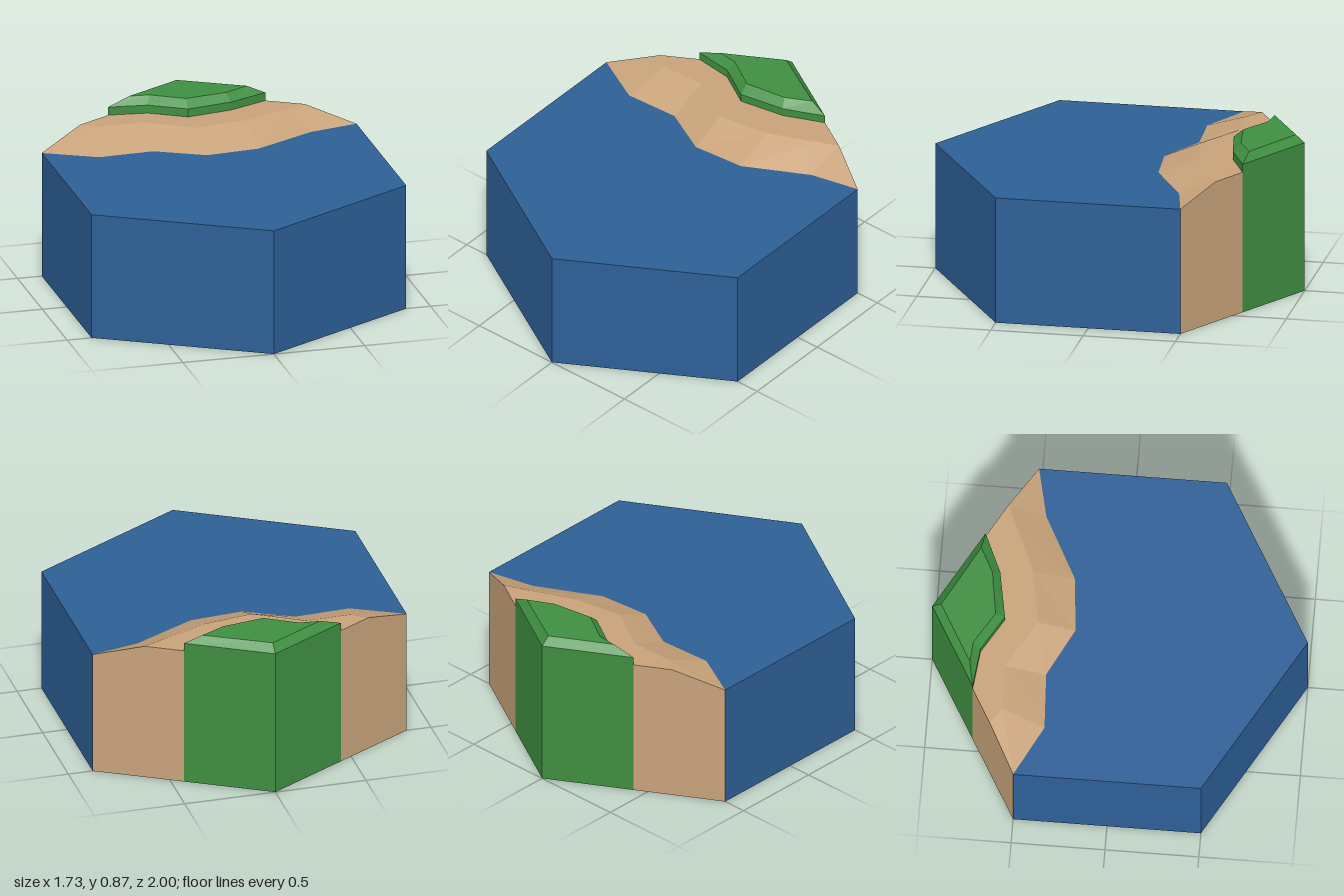
import * as THREE from 'three';

const material = (name, color) => {
  const m = new THREE.MeshStandardMaterial({ color });
  m.name = name;
  return m;
};

// Stacks outlines (rings of [x, z], counter-clockwise from above) at given heights,
// joins them with walls and closes the top.
function terrace(name, layers, mat) {
  const positions = [];
  const put = ([x, z], y) => positions.push(x, y, z);
  for (let l = 0; l < layers.length - 1; l++) {
    const [y0, a] = layers[l];
    const [y1, b] = layers[l + 1];
    for (let i = 0; i < a.length; i++) {
      const j = (i + 1) % a.length;
      put(a[i], y0); put(a[j], y0); put(b[j], y1);
      put(a[i], y0); put(b[j], y1); put(b[i], y1);
    }
  }
  const [top, ring] = layers[layers.length - 1];
  const flat = ring.map(([x, z]) => new THREE.Vector2(x, -z));
  for (const face of THREE.ShapeUtils.triangulateShape(flat, [])) {
    for (const k of face) put(ring[k], top);
  }
  const geometry = new THREE.BufferGeometry();
  geometry.setAttribute('position', new THREE.Float32BufferAttribute(positions, 3));
  geometry.computeVertexNormals();
  const mesh = new THREE.Mesh(geometry, mat);
  mesh.name = name;
  return mesh;
}

export function createModel() {
  const water = material('water blue', 0x2d5f96);
  const sand = material('sand tan', 0xc8a37a);
  const grass = material('grass green', 0x3f8f41);
  const W = Math.sqrt(3) / 2;
  const E = W / 2;
  const onEdge = (x) => [x, -1 + Math.abs(x) / Math.sqrt(3)]; // point on a back side of the hexagon

  const model = new THREE.Group();
  model.name = 'coastTile';

  // Sea: hexagon cut along the shoreline
  const shore = [[-W, -0.5], [-0.59, -0.355], [-0.29, -0.37], [-0.03, -0.235],
    [0.26, -0.26], [0.6, -0.44], [W, -0.5]];
  const sea = [...[...shore].reverse(), [-W, 0.5], [0, 1], [W, 0.5]];
  model.add(terrace('sea', [[0, sea], [0.695, sea]], water));

  // Beach: sloping from the shoreline up to a flat ridge
  const ridge = [onEdge(-0.615), [-0.53, -0.585], [-0.29, -0.59], [-0.03, -0.435],
    [0.25, -0.48], [0.5, -0.591], onEdge(0.62)];
  const back = [[E, -0.75], [-E, -0.75]];
  const beach = [...shore, ...back];
  model.add(terrace('beach', [[0, beach], [0.695, beach], [0.78, [...ridge, ...back]]], sand));

  // Grass bank with a bevelled rim
  const bank = [[-E, -0.75], [-0.22, -0.725], [-0.03, -0.61], [0.22, -0.655], [E, -0.75], [0, -1]];
  const lawn = [[-0.31, -0.775], [-0.2, -0.765], [-0.03, -0.66], [0.2, -0.695], [0.335, -0.765], [0, -0.952]];
  model.add(terrace('grassBank', [[0, bank], [0.825, bank], [0.867, lawn]], grass));

  // Underside
  const base = new THREE.Mesh(new THREE.CircleGeometry(1, 6, Math.PI / 6), water);
  base.rotation.x = Math.PI / 2;
  base.name = 'underside';
  model.add(base);

  return model;
}
